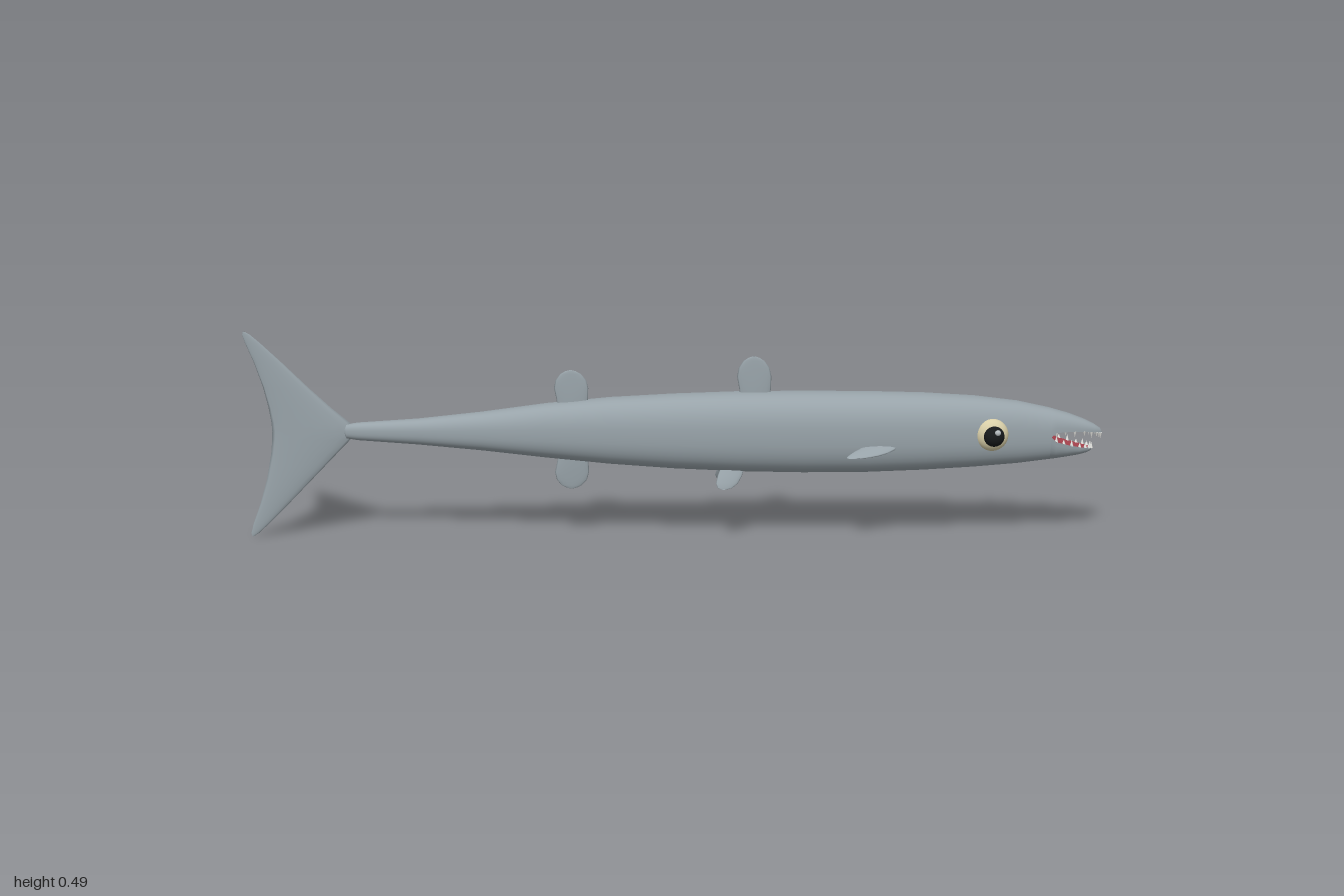
import * as THREE from 'three';

const make = (name, color, side = THREE.FrontSide) => {
  const m = new THREE.MeshStandardMaterial({ color, side });
  m.name = name;
  return m;
};

// Skin stretched over a list of rings of [x, y, z] points
function loft(rings, closed) {
  const n = rings[0].length, index = [];
  const last = closed ? n : n - 1;
  for (let i = 0; i < rings.length - 1; i++) {
    for (let j = 0; j < last; j++) {
      const k = (j + 1) % n;
      const a = i * n + j, b = a + n, c = i * n + k, d = c + n;
      index.push(a, b, c, b, d, c);
    }
  }
  const g = new THREE.BufferGeometry();
  g.setAttribute('position', new THREE.Float32BufferAttribute(rings.flat(2), 3));
  g.setIndex(index);
  g.computeVertexNormals();
  return g;
}

// Rounded section: x, middle line, top, bottom, half width
function section([x, mid, top, bottom, w], from, to, steps, closed) {
  const pts = [], pow = (v) => Math.sign(v) * Math.abs(v) ** 0.82;
  for (let j = 0; j < (closed ? steps : steps + 1); j++) {
    const a = from + ((to - from) * j) / steps;
    const s = pow(Math.sin(a));
    pts.push([x, mid + s * (s > 0 ? top - mid : mid - bottom), w * pow(Math.cos(a))]);
  }
  return pts;
}

// Lens-shaped fin: spans run upward as [y, trailing x, leading x, half thickness]
function finGeometry(spans) {
  return loft(spans.map(([y, back, front, t]) => {
    const ring = [];
    for (let j = 0; j < 16; j++) {
      const a = (j / 16) * Math.PI * 2;
      ring.push([(back + front) / 2 + ((front - back) / 2) * Math.cos(a), y, t * Math.sin(a)]);
    }
    return ring;
  }), true);
}

export function createModel() {
  const skin = make('greySkin', 0x98a3a9, THREE.DoubleSide);
  const red = make('mouthRed', 0xa8434e, THREE.DoubleSide);
  const white = make('toothWhite', 0xe6e6e2);
  const cream = make('eyeCream', 0xd9cfa8);
  const black = make('pupilBlack', 0x17191a);
  const glint = make('eyeGlint', 0xb4babd);

  const fish = new THREE.Group();
  fish.name = 'fish';
  const add = (name, geometry, material, parent = fish) => {
    const m = new THREE.Mesh(geometry, material);
    m.name = name;
    parent.add(m);
    return m;
  };

  // Body from tail root to mouth corner
  const body = [
    [-0.772, 0.254, 0.258, 0.25, 0.004], [-0.766, 0.254, 0.271, 0.238, 0.013],
    [-0.74, 0.254, 0.275, 0.234, 0.018], [-0.6, 0.254, 0.284, 0.224, 0.027],
    [-0.45, 0.254, 0.3, 0.21, 0.038], [-0.3, 0.254, 0.32, 0.193, 0.049],
    [-0.15, 0.254, 0.334, 0.178, 0.059], [0, 0.254, 0.342, 0.167, 0.066],
    [0.15, 0.254, 0.347, 0.16, 0.07], [0.3, 0.254, 0.348, 0.157, 0.071],
    [0.45, 0.253, 0.347, 0.158, 0.07], [0.58, 0.252, 0.344, 0.163, 0.067],
    [0.7, 0.251, 0.337, 0.17, 0.06], [0.8, 0.249, 0.325, 0.178, 0.051],
    [0.875, 0.247, 0.309, 0.187, 0.041],
  ];
  add('body', loft(body.map((s) => section(s, 0, Math.PI * 2, 40, true)), true), skin);

  // Jaws: x, mouth edge height, outer height, half width
  const upper = [
    [0.875, 0.247, 0.309, 0.041], [0.888, 0.257, 0.305, 0.039], [0.92, 0.258, 0.296, 0.033],
    [0.955, 0.256, 0.283, 0.025], [0.98, 0.253, 0.271, 0.017], [0.995, 0.25, 0.261, 0.009],
    [1, 0.25, 0.252, 0.002],
  ];
  const lower = [
    [0.875, 0.247, 0.187, 0.041], [0.888, 0.235, 0.189, 0.039], [0.915, 0.227, 0.193, 0.034],
    [0.945, 0.22, 0.198, 0.026], [0.965, 0.217, 0.203, 0.018], [0.975, 0.215, 0.208, 0.009],
    [0.978, 0.213, 0.212, 0.002],
  ];
  for (const [name, jaw, dir] of [['upper', upper, 1], ['lower', lower, -1]]) {
    const from = dir > 0 ? 0 : Math.PI;
    add(name + 'Jaw', loft(jaw.map(([x, e, o, w]) =>
      section([x, e, o, o, w], from, from + Math.PI, 20, false)), false), skin);
    add(name + 'Mouth', loft(jaw.map(([x, e, , w]) => [[x, e, -w * dir], [x, e, w * dir]]), false), red);

    // Teeth along both edges of the jaw
    const teeth = new THREE.Group();
    teeth.name = name + 'Teeth';
    fish.add(teeth);
    const edge = new THREE.CatmullRomCurve3(jaw.slice(1, 6).map(([x, e, , w]) =>
      new THREE.Vector3(x, e, w * 0.88)));
    for (let i = 0; i < 7; i++) {
      const p = edge.getPoint(i / 6);
      for (const side of [-1, 1]) {
        const h = i % 2 ? 0.011 : 0.015;
        const tooth = add('tooth', new THREE.ConeGeometry(0.0042, h, 8), white, teeth);
        tooth.position.set(p.x, p.y - dir * (h / 2 - 0.001), p.z * side);
        if (dir > 0) tooth.rotation.x = Math.PI;
      }
    }
  }

  // Forked tail
  add('tailFin', finGeometry([
    [0, -0.998, -0.995, 0.0005], [0.008, -1, -0.982, 0.002], [0.03, -0.994, -0.958, 0.003],
    [0.08, -0.975, -0.908, 0.005], [0.14, -0.957, -0.85, 0.007], [0.2, -0.945, -0.792, 0.008],
    [0.235, -0.941, -0.758, 0.009], [0.255, -0.94, -0.748, 0.009], [0.275, -0.941, -0.758, 0.009],
    [0.31, -0.946, -0.8, 0.008], [0.36, -0.957, -0.853, 0.007], [0.42, -0.976, -0.913, 0.005],
    [0.465, -0.994, -0.96, 0.003], [0.484, -1, -0.982, 0.002], [0.491, -0.998, -0.994, 0.0005],
  ]), skin);

  // Rounded upright fins; dir -1 hangs the fin below the body
  const outline = [[0, -0.032, 0.036, 0.006], [0.3, -0.036, 0.038, 0.006], [0.55, -0.041, 0.039, 0.005],
    [0.75, -0.037, 0.034, 0.004], [0.9, -0.026, 0.022, 0.003], [0.97, -0.014, 0.01, 0.002],
    [1, -0.003, -0.001, 0.0005]];
  const upright = (name, x, y, height, dir) => {
    const spans = outline.map(([u, b, f, t]) => [u * height * dir, b, f, t]);
    add(name, finGeometry(dir > 0 ? spans : spans.reverse()), skin).position.set(x, y, 0);
  };
  upright('frontDorsalFin', 0.186, 0.325, 0.107, 1);
  upright('rearDorsalFin', -0.24, 0.305, 0.095, 1);
  upright('analFin', -0.24, 0.205, 0.09, -1);

  const pectoral = [[-0.05, 0.4, 0.412, 0.0005], [-0.046, 0.394, 0.44, 0.002], [-0.038, 0.398, 0.468, 0.004],
    [-0.026, 0.408, 0.492, 0.005], [-0.012, 0.424, 0.509, 0.006], [0.004, 0.44, 0.518, 0.006]];
  const pelvic = [[-0.055, 0.11, 0.118, 0.0005], [-0.051, 0.1, 0.134, 0.002], [-0.04, 0.096, 0.147, 0.004],
    [-0.022, 0.1, 0.157, 0.005], [0, 0.108, 0.163, 0.005]];

  for (const side of [1, -1]) {
    const label = side > 0 ? 'left' : 'right';

    // Paired fins
    const pec = add(label + 'PectoralFin', finGeometry(pectoral), skin);
    pec.position.set(0, 0.23, 0.061 * side);
    pec.rotation.x = -1.22 * side;
    const pel = add(label + 'PelvicFin', finGeometry(pelvic), skin);
    pel.position.set(0, 0.174, 0.024 * side);
    pel.rotation.x = -0.46 * side;

    // Eye built from flattened balls
    const eye = new THREE.Group();
    eye.name = label + 'Eye';
    fish.add(eye);
    const ball = (name, mat, x, y, z, r, depth) => {
      const m = add(name, new THREE.SphereGeometry(1, 28, 18), mat, eye);
      m.position.set(x, y, z * side);
      m.scale.set(r, r, depth);
    };
    ball('eyeWhite', cream, 0.735, 0.256, 0.051, 0.038, 0.024);
    ball('pupil', black, 0.737, 0.256, 0.068, 0.024, 0.022);
    ball('eyeHighlight', glint, 0.743, 0.268, 0.086, 0.007, 0.006);
  }
  return fish;
}
